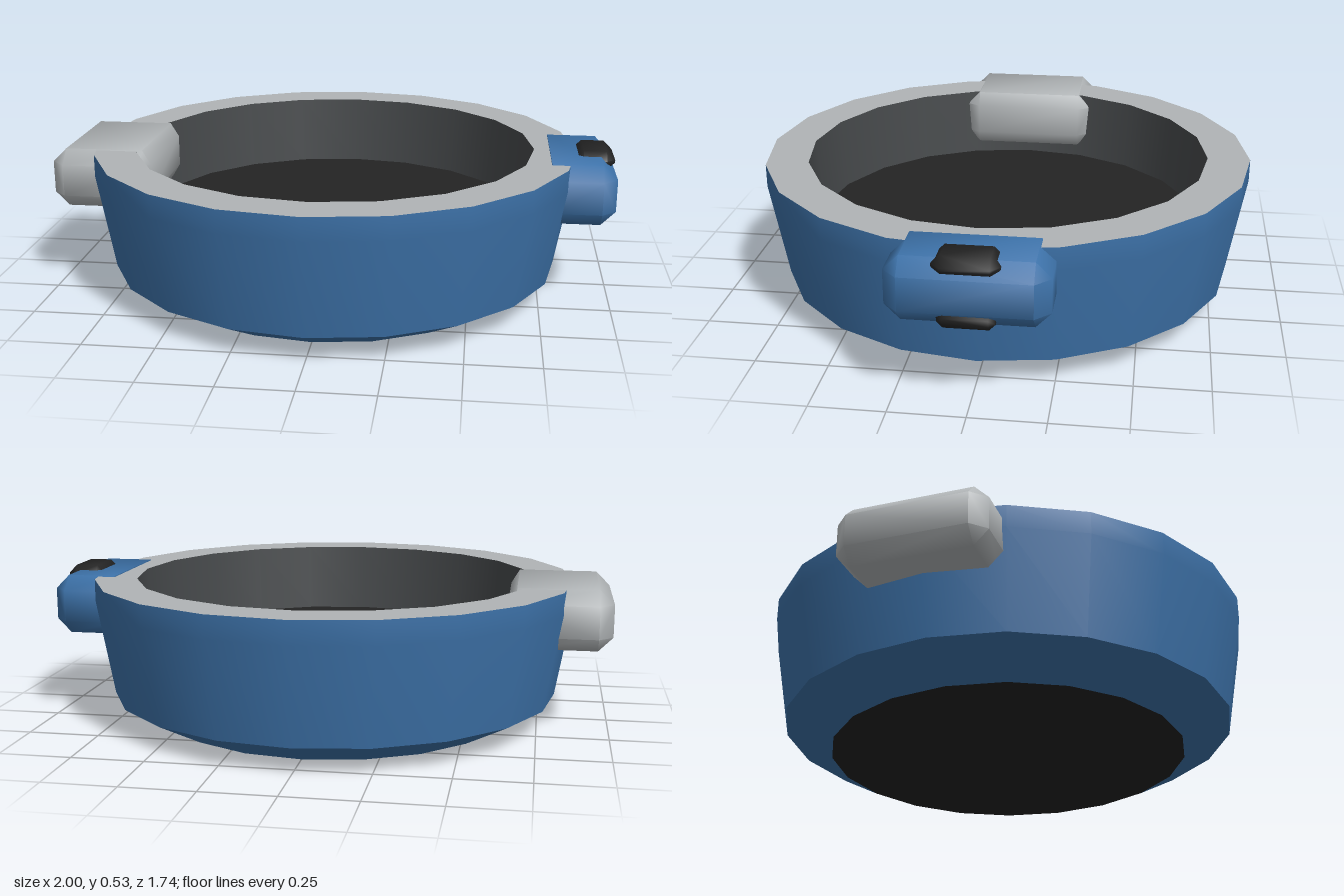
import * as THREE from 'three';
import { toCreasedNormals } from 'three/addons/utils/BufferGeometryUtils.js';
import { ConvexGeometry } from 'three/addons/geometries/ConvexGeometry.js';

const mat = (name, color) => new THREE.MeshStandardMaterial({ name, color });

export function createModel() {
  const group = new THREE.Group();
  const blue = mat('blue', 0x3d72a9);
  const silver = mat('silver grey', 0xb0b4b6);
  const darkGrey = mat('dark grey', 0x46494b);
  const black = mat('black', 0x232323);

  const add = (name, geometry, material) => {
    const mesh = new THREE.Mesh(geometry, material);
    mesh.name = name;
    group.add(mesh);
  };

  // One 20-sided band of the dish; separate bands keep the edges sharp
  const band = (name, material, points) =>
    add(name, new THREE.LatheGeometry(points.map(([r, y]) => new THREE.Vector2(r, y)), 20), material);

  // Box with chamfered edges; inner and outer ends (along x) have their own cut
  const chamferBox = (name, material, [x0, x1], [y0, y1], hz, cut, cutStart, cutEnd) => {
    const points = [];
    const cy = (y0 + y1) / 2, hy = (y1 - y0) / 2;
    for (const [x, c] of [[x0, cutStart], [x1, -cutEnd]])
      for (const sy of [-1, 1])
        for (const sz of [-1, 1]) {
          const e = Math.abs(c);
          points.push(
            new THREE.Vector3(x + c, cy + sy * hy, sz * (hz - cut)),
            new THREE.Vector3(x + c, cy + sy * (hy - cut), sz * hz),
            new THREE.Vector3(x, cy + sy * (hy - Math.max(cut, e)), sz * (hz - Math.max(cut, e))));
        }
    add(name, toCreasedNormals(new ConvexGeometry(points), Math.PI / 3), material);
  };

  // Dish, from the underside round to the inner floor
  band('underside', black, [[0, 0], [0.64, 0]]);
  band('lowerBevel', blue, [[0.64, 0], [0.81, 0.09]]);
  band('outerWall', blue, [[0.81, 0.09], [0.87, 0.43], [0.87, 0.51]]);
  band('rim', silver, [[0.87, 0.51], [0.72, 0.51]]);
  band('innerWall', darkGrey, [[0.72, 0.51], [0.70, 0.255]]);
  band('floor', black, [[0.70, 0.255], [0, 0.255]]);

  // Grey block reaching over the rim into the bowl
  chamferBox('rightBlock', silver, [-1, -0.64], [0.3, 0.513], 0.255, 0.05, 0.05, 0.03);

  // Blue block with two black buttons
  chamferBox('leftBlock', blue, [0.77, 1], [0.3, 0.513], 0.255, 0.05, 0.005, 0.05);
  chamferBox('topButton', black, [0.86, 1], [0.46, 0.53], 0.105, 0.03, 0.03, 0.03);
  chamferBox('bottomButton', black, [0.88, 1], [0.296, 0.355], 0.09, 0.02, 0.02, 0.02);

  return group;
}
